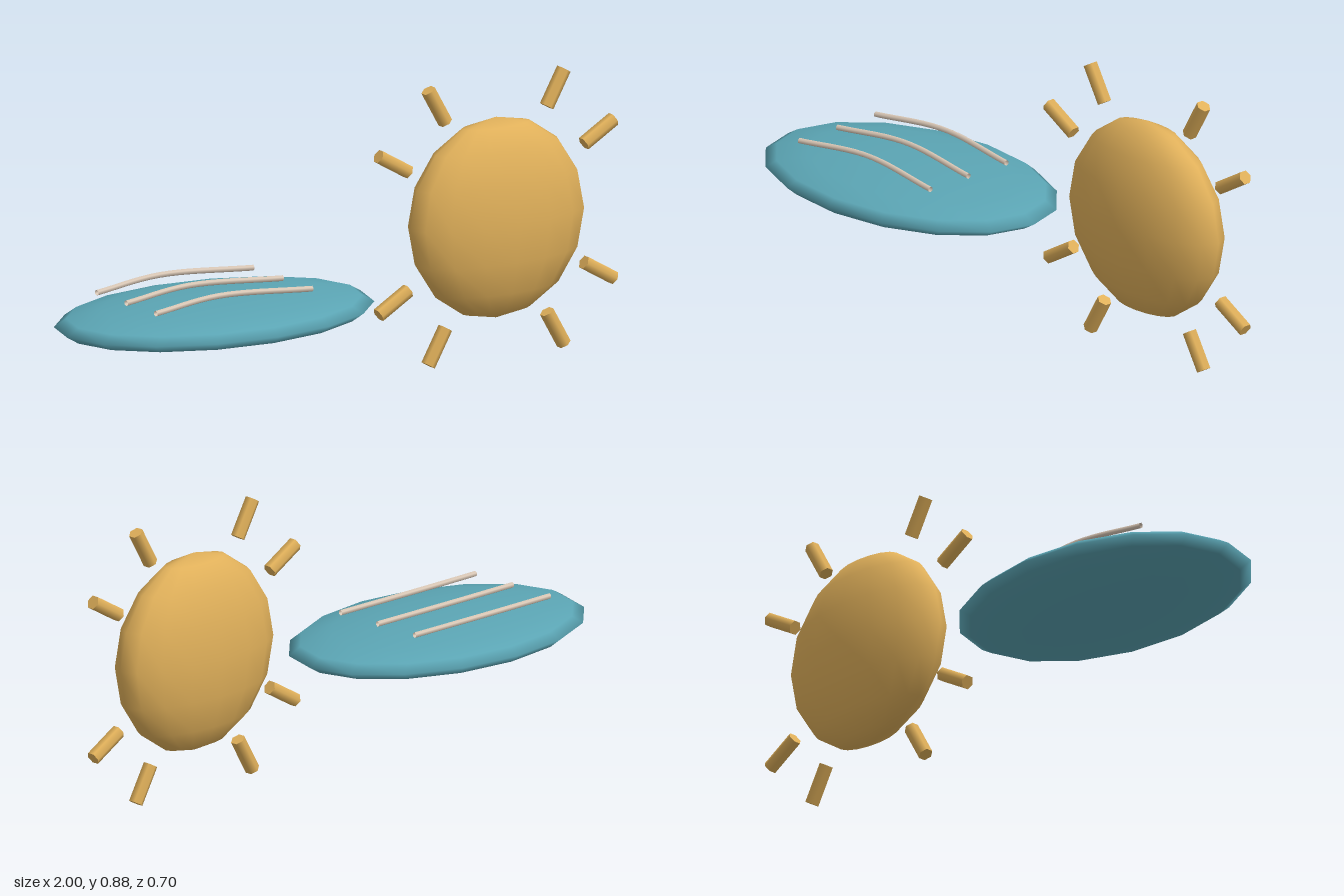
import * as THREE from 'three';

const material = (name, color) => {
  const m = new THREE.MeshStandardMaterial({ color });
  m.name = name;
  return m;
};

export function createModel() {
  const model = new THREE.Group();
  const golden = material('golden', 0xe0b05a);
  const teal = material('teal', 0x5ba5b4);
  const cream = material('cream', 0xdccab8);
  cream.side = THREE.DoubleSide;

  const add = (name, geometry, mat, parent = model) => {
    const mesh = new THREE.Mesh(geometry, mat);
    mesh.name = name;
    parent.add(mesh);
    return mesh;
  };
  // Flattened low-poly sphere with smooth normals
  const ellipsoid = (rx, ry, rz) => new THREE.SphereGeometry(1, 16, 8).scale(rx, ry, rz);

  // Sun: disc with eight hexagonal rays
  const sun = new THREE.Group();
  sun.name = 'sun';
  sun.position.set(0.5625, 0.4375, 0);
  model.add(sun);
  add('sunDisc', ellipsoid(0.3125, 0.3125, 0.126), golden, sun);
  const rayGeometry = new THREE.CylinderGeometry(0.0225, 0.0225, 0.125, 6);
  for (const degrees of [30, 60, 120, 150, 210, 240, 300, 330]) {
    const a = THREE.MathUtils.degToRad(degrees);
    const ray = add('sunRay', rayGeometry, golden, sun);
    ray.position.set(0.432 * Math.cos(a), 0.432 * Math.sin(a), 0);
    ray.rotation.z = a - Math.PI / 2;
  }

  // Water: flat oval pool
  add('pool', ellipsoid(0.535, 0.0625, 0.35), teal).position.set(-0.465, 0.276, 0);

  // Ripples: three arched strands floating over the pool
  for (const z of [-0.16, 0, 0.16]) {
    const path = new THREE.CatmullRomCurve3([
      new THREE.Vector3(-0.785, 0.354, z),
      new THREE.Vector3(-0.53, 0.368, z - 0.034),
      new THREE.Vector3(-0.215, 0.354, z),
    ]);
    add('ripple', new THREE.TubeGeometry(path, 16, 0.009, 6), cream);
  }
  return model;
}
